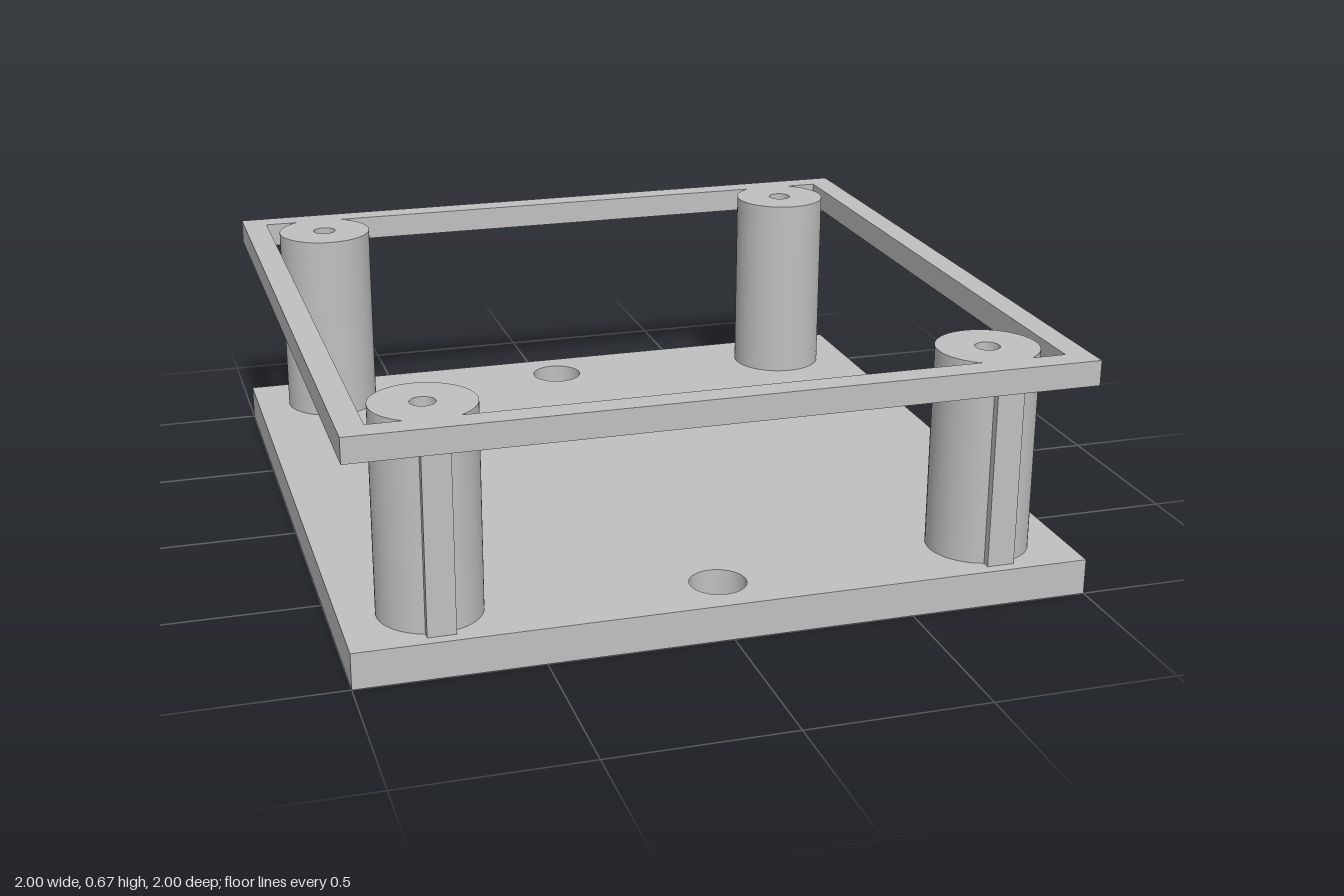
import * as THREE from 'three';
import { toCreasedNormals } from 'three/addons/utils/BufferGeometryUtils.js';

const POST_X = 0.763, POST_Z = 0.81, POST_R = 0.14, BORE_R = 0.034;
const HOLE_R = 0.077, INNER = 0.93;
const BASE_TOP = 0.1, FRAME_BOTTOM = 0.6, FRAME_TOP = 0.67;
const CORNERS = [[-1, -1], [1, -1], [1, 1], [-1, 1]];

function circlePath(x, y, r) {
  const p = new THREE.Path();
  p.absarc(x, y, r, 0, Math.PI * 2, false);
  return p;
}

function square() {
  return new THREE.Shape([[-1, -1], [1, -1], [1, 1], [-1, 1]].map(([x, y]) => new THREE.Vector2(x, y)));
}

// Extrude a plan shape upward from y0 to y1
function slab(shape, y0, y1) {
  const g = new THREE.ExtrudeGeometry(shape, { depth: y1 - y0, bevelEnabled: false, curveSegments: 40 });
  g.rotateX(-Math.PI / 2);
  g.translate(0, y0, 0);
  return toCreasedNormals(g, 0.6);
}

export function createModel() {
  const group = new THREE.Group();
  const grey = new THREE.MeshStandardMaterial({ color: 0xc0c0c0 });
  grey.name = 'grey';
  const add = (name, geometry) => {
    const m = new THREE.Mesh(geometry, grey);
    m.name = name;
    group.add(m);
    return m;
  };

  // Base plate with wide screw recesses and two mounting holes
  const base = square();
  for (const [sx, sz] of CORNERS) base.holes.push(circlePath(sx * POST_X, sz * POST_Z, HOLE_R));
  for (const s of [-1, 1]) base.holes.push(circlePath(0, s * 0.857, HOLE_R));
  add('basePlate', slab(base, 0, BASE_TOP));

  // Thin top frame whose opening curves around the four post heads
  const frame = square();
  const opening = new THREE.Path();
  const a = Math.asin((INNER - POST_Z) / POST_R);
  opening.moveTo(-INNER, -INNER);
  for (const s of [-1, 1]) opening.absarc(s * POST_X, -POST_Z, POST_R, Math.PI + a, -a, true);
  opening.lineTo(INNER, -INNER);
  opening.lineTo(INNER, INNER);
  for (const s of [1, -1]) opening.absarc(s * POST_X, POST_Z, POST_R, a, Math.PI - a, true);
  opening.lineTo(-INNER, INNER);
  opening.lineTo(-INNER, -INNER);
  frame.holes.push(opening);
  for (const [sx, sz] of CORNERS) frame.holes.push(circlePath(sx * POST_X, sz * POST_Z, BORE_R));
  add('topFrame', slab(frame, FRAME_BOTTOM, FRAME_TOP));

  // Bored posts, each with a narrow rib on its outer side
  const ring = new THREE.Shape();
  ring.absarc(0, 0, POST_R, 0, Math.PI * 2, false);
  ring.holes.push(circlePath(0, 0, BORE_R));
  const postGeo = slab(ring, BASE_TOP, FRAME_BOTTOM);
  const ribGeo = new THREE.BoxGeometry(0.076, FRAME_BOTTOM - BASE_TOP, 0.06);
  for (const [sx, sz] of CORNERS) {
    add('post', postGeo).position.set(sx * POST_X, 0, sz * POST_Z);
    add('postRib', ribGeo).position.set(sx * POST_X, (BASE_TOP + FRAME_BOTTOM) / 2, sz * 0.938);
  }
  return group;
}
